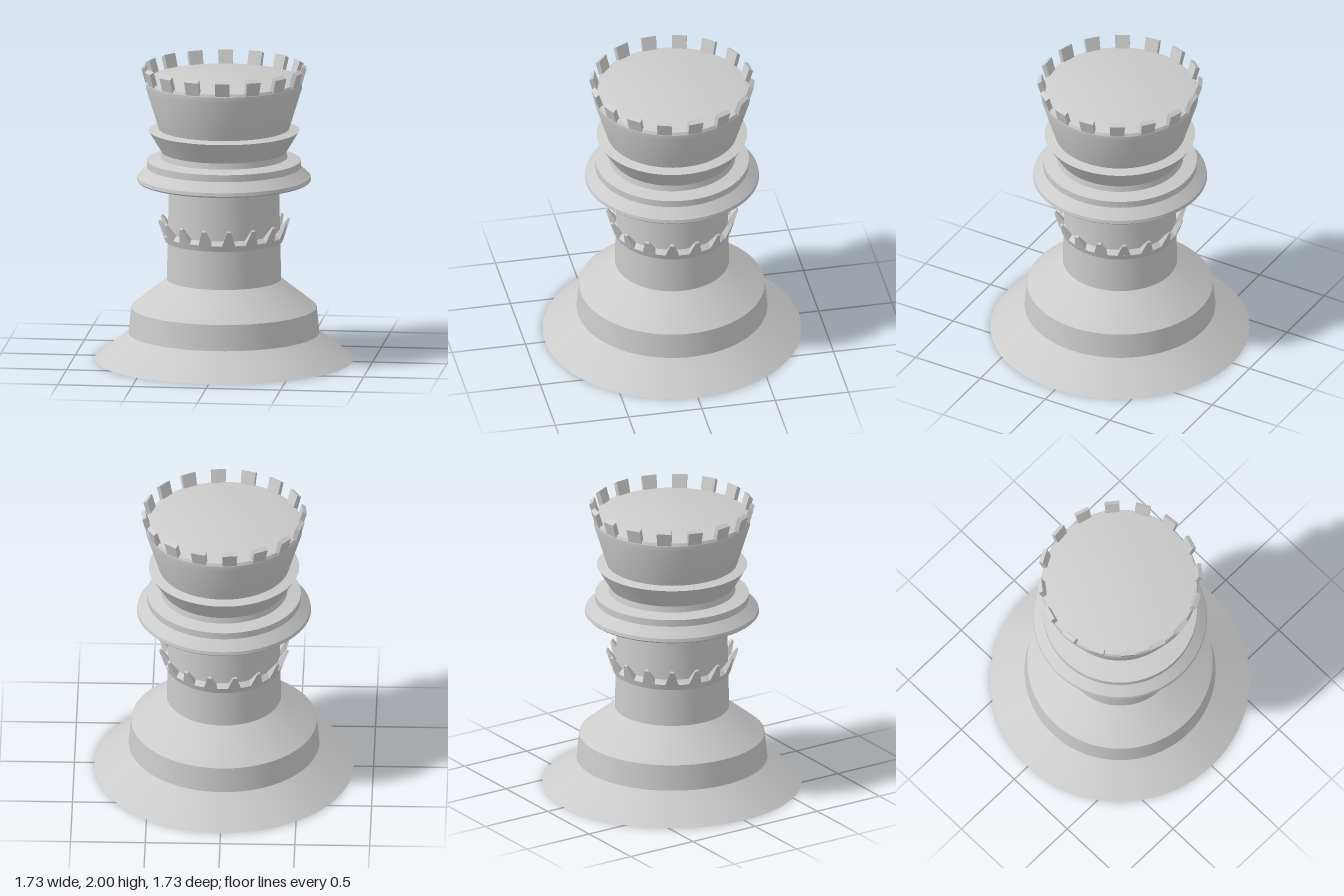
import * as THREE from 'three';
import { toCreasedNormals } from 'three/addons/utils/BufferGeometryUtils.js';

const material = new THREE.MeshStandardMaterial({ color: 0xcccccc });

// Turned part from [radius, height] pairs, running from bottom to top
function turned(name, profile) {
  const points = profile.map(([r, y]) => new THREE.Vector2(r, y));
  const geometry = toCreasedNormals(new THREE.LatheGeometry(points, 96), 0.4);
  const mesh = new THREE.Mesh(geometry, material);
  mesh.name = name;
  return mesh;
}

// Tapered block; each edge is [radius, height, half width]
function taperedBlock({ innerBottom, outerBottom, innerTop, outerTop }) {
  const geometry = new THREE.BoxGeometry(1, 1, 1).toNonIndexed();
  const p = geometry.attributes.position;
  for (let i = 0; i < p.count; i++) {
    const outer = p.getZ(i) > 0;
    const top = p.getY(i) > 0;
    const [r, y, w] = top ? (outer ? outerTop : innerTop) : (outer ? outerBottom : innerBottom);
    p.setXYZ(i, Math.sign(p.getX(i)) * w, y, r);
  }
  geometry.computeVertexNormals();
  return geometry;
}

// Copies of one block spaced evenly around the axis
function ringOf(name, partName, geometry, count, offset) {
  const group = new THREE.Group();
  group.name = name;
  for (let i = 0; i < count; i++) {
    const mesh = new THREE.Mesh(geometry, material);
    mesh.name = partName;
    mesh.rotation.y = (i + offset) * Math.PI * 2 / count;
    group.add(mesh);
  }
  return group;
}

export function createModel() {
  const model = new THREE.Group();
  model.name = 'rookTower';

  // Stepped base, column, stacked collars and flared head
  model.add(turned('towerBody', [
    [0, 0], [0.866, 0], [0.638, 0.18], [0.62, 0.355], [0.382, 0.545],
    [0.368, 1.175], [0.572, 1.212], [0.582, 1.222], [0.578, 1.245],
    [0.514, 1.308], [0.514, 1.355], [0.424, 1.375], [0.417, 1.415],
    [0.503, 1.558], [0.436, 1.572], [0.522, 1.85], [0.523, 1.885],
    [0.515, 1.905], [0.5, 1.91], [0, 1.91],
  ]));

  // Battlements leaning outward around the rim
  const merlon = taperedBlock({
    innerBottom: [0.492, 1.895, 0.047],
    outerBottom: [0.525, 1.89, 0.047],
    innerTop: [0.524, 2.0, 0.05],
    outerTop: [0.551, 1.982, 0.05],
  });
  model.add(ringOf('battlements', 'merlon', merlon, 16, 0.25));

  // Flared band around the column, sloping outward between the spikes
  model.add(turned('spikeBand', [
    [0.37, 0.805], [0.393, 0.807], [0.407, 0.847], [0.37, 0.878],
  ]));

  // Spikes rising from the band
  const spike = taperedBlock({
    innerBottom: [0.368, 0.868, 0.034],
    outerBottom: [0.404, 0.84, 0.047],
    innerTop: [0.43, 0.955, 0.011],
    outerTop: [0.441, 0.945, 0.014],
  });
  model.add(ringOf('spikeCrown', 'spike', spike, 16, 0.5));

  return model;
}
